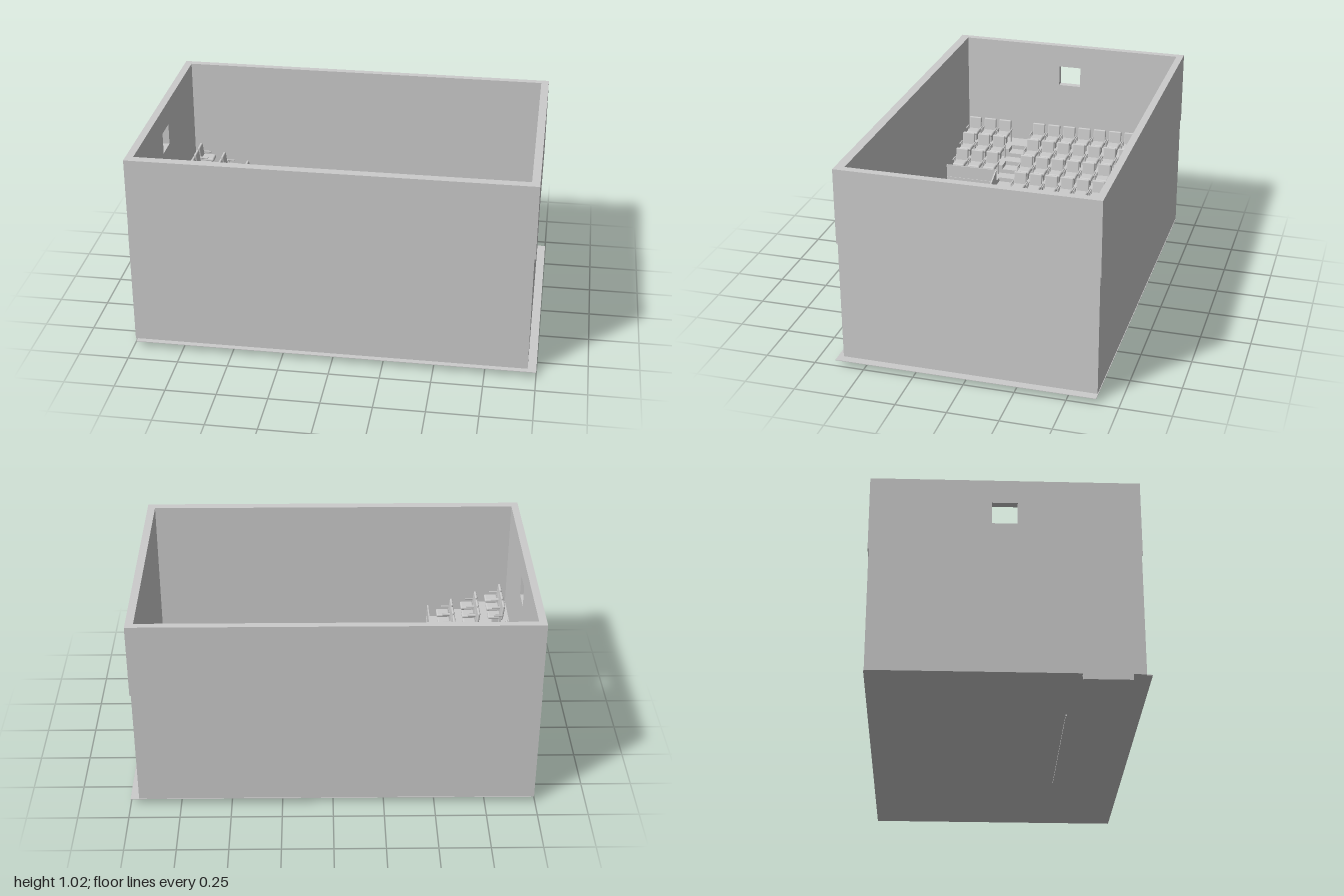
import * as THREE from 'three';
import { RoundedBoxGeometry } from 'three/addons/geometries/RoundedBoxGeometry.js';

const FLOOR = 0.033, RISE = 0.045, PITCH = 0.13, ROWS = 10;
const IN = { x0: -0.955, x1: 0.925, z0: -0.61, z1: 0.575 };
const material = new THREE.MeshStandardMaterial({ color: 0xcccccc });

const rowTop = (i) => 0.44 - RISE * i;
const rowEdge = (i) => -0.785 + PITCH * i;

function add(parent, name, geometry, x = 0, y = 0, z = 0) {
  const mesh = new THREE.Mesh(geometry, material);
  mesh.name = name;
  mesh.position.set(x, y, z);
  parent.add(mesh);
  return mesh;
}

// Box given by its lower and upper limits
function block(parent, name, x0, x1, y0, y1, z0, z1) {
  return add(parent, name, new THREE.BoxGeometry(x1 - x0, y1 - y0, z1 - z0),
    (x0 + x1) / 2, (y0 + y1) / 2, (z0 + z1) / 2);
}

const polygon = (points) => new THREE.Shape(points.map((p) => new THREE.Vector2(...p)));
const extrude = (shape, depth) => new THREE.ExtrudeGeometry(shape, { depth, bevelEnabled: false });

// Side profile (x, y) extruded from z0 to z1
function sideSolid(parent, name, points, z0, z1) {
  return add(parent, name, extrude(polygon(points), z1 - z0), 0, 0, z0);
}

// Floor plan (x, z) extruded upwards from y0 to y1
function planSolid(parent, name, shape, y0, y1) {
  return add(parent, name, extrude(shape, y1 - y0).rotateX(Math.PI / 2), 0, y1, 0);
}

function buildWalls(group) {
  const lower = polygon([[-0.995, -0.64], [0.958, -0.64], [0.958, 0.615], [-0.995, 0.615]]);
  lower.holes.push(polygon([[IN.x0, IN.z0], [IN.x0, IN.z1], [IN.x1, IN.z1], [IN.x1, IN.z0]]));
  planSolid(group, 'lowerWalls', lower, 0.03, 0.643);

  // Upper walls on three sides, slightly proud of the lower ones
  const upper = polygon([[-0.992, -0.645], [0.964, -0.645], [0.964, 0.62], [-0.992, 0.62],
    [-0.992, IN.z1], [IN.x1, IN.z1], [IN.x1, IN.z0], [-0.992, IN.z0]]);
  planSolid(group, 'upperWalls', upper, 0.643, 1.02);

  // Rear upper wall with the projection window
  const rear = polygon([[-IN.z1, 0.643], [-IN.z0, 0.643], [-IN.z0, 1.02], [-IN.z1, 1.02]]);
  rear.holes.push(polygon([[-0.045, 0.79], [-0.045, 0.9], [0.075, 0.9], [0.075, 0.79]]));
  add(group, 'projectionWall', extrude(rear, 0.037).rotateY(Math.PI / 2), -0.992, 0, 0);
}

// Stepped profile of the seating tiers, down to the given row
function tierProfile(lastRow) {
  const points = [[IN.x0, FLOOR], [rowEdge(lastRow), FLOOR]];
  for (let i = lastRow; i >= 0; i--) {
    points.push([rowEdge(i), rowTop(i)]);
    points.push([i ? rowEdge(i - 1) : IN.x0, rowTop(i)]);
  }
  return points;
}

// Aisle stairs with two treads to each row
function stairProfile() {
  const points = [[IN.x0, FLOOR], [rowEdge(8), FLOOR]];
  for (let k = 17; k >= 0; k--) {
    const edge = -0.85 + k * PITCH / 2, y = rowTop(0) - k * RISE / 2;
    points.push([edge + (k === 17 ? rowEdge(8) - edge : 0), y]);
    points.push([k ? edge - PITCH / 2 : IN.x0, y]);
  }
  return points;
}

// One armchair facing +x, standing on y = 0
const cushion = new RoundedBoxGeometry(0.07, 0.02, 0.068, 2, 0.009);
const backrest = new RoundedBoxGeometry(0.014, 0.085, 0.07, 2, 0.006);
const armrest = new RoundedBoxGeometry(0.05, 0.008, 0.008, 1, 0.003);
const armPost = new THREE.BoxGeometry(0.012, 0.065, 0.005);
const pedestal = new THREE.BoxGeometry(0.03, 0.042, 0.04);

function buildSeat() {
  const seat = new THREE.Group();
  seat.name = 'seat';
  add(seat, 'cushion', cushion, 0.006, 0.05, 0);
  add(seat, 'backrest', backrest, -0.036, 0.08, 0).rotation.z = 0.12;
  add(seat, 'pedestal', pedestal, 0, 0.021, 0);
  for (const s of [-1, 1]) {
    add(seat, 'armrest', armrest, -0.012, 0.069, s * 0.039);
    add(seat, 'armPost', armPost, -0.022, 0.0325, s * 0.039);
  }
  return seat;
}

function buildSeats(group) {
  const seats = new THREE.Group();
  seats.name = 'seats';
  group.add(seats);
  for (let i = 0; i < ROWS; i++) {
    const places = [];
    for (let j = 0; j < (i === 9 ? 7 : 9); j++) places.push(-0.555 + j * 0.088);
    if (i < 3) places.push(0.348, 0.436, 0.524);
    for (const z of places) {
      const seat = buildSeat();
      seat.position.set(-0.875 + i * 0.1292, Math.max(rowTop(i), FLOOR), z);
      seats.add(seat);
    }
  }
}

// Rail around the open place in the front row
function buildRail(group) {
  const rail = new THREE.Group();
  rail.name = 'guardRail';
  group.add(rail);
  for (const y of [0.1, 0.15]) {
    const path = new THREE.CatmullRomCurve3([[0.315, 0.04], [0.26, 0.04], [0.245, 0.055],
      [0.245, 0.175], [0.26, 0.19], [0.315, 0.19]].map(([x, z]) => new THREE.Vector3(x, y, z)),
    false, 'catmullrom', 0.1);
    add(rail, 'railBar', new THREE.TubeGeometry(path, 40, 0.003, 6));
  }
  for (const [x, z] of [[0.312, 0.04], [0.245, 0.07], [0.245, 0.16], [0.312, 0.19]]) {
    add(rail, 'railPost', new THREE.CylinderGeometry(0.003, 0.003, 0.12, 6), x, 0.09, z);
  }
}

export function createModel() {
  const model = new THREE.Group();
  model.name = 'auditorium';

  block(model, 'floor', -0.985, 1, 0.03, FLOOR, -0.643, 0.642);
  block(model, 'doorStep', -1, -0.975, 0, 0.036, 0.33, 0.555);
  buildWalls(model);

  // Tiers on both sides of the aisle
  sideSolid(model, 'mainTiers', tierProfile(8), IN.z0, 0.205);
  sideSolid(model, 'aisleStairs', stairProfile(), 0.205, 0.29);
  sideSolid(model, 'sideTiers', tierProfile(2), 0.29, IN.z1);

  // Sloping parapet beside the stairs and the one closing the side tiers
  sideSolid(model, 'stairParapet', [[-0.535, 0.022], [0.39, 0.022], [0.39, 0.11],
    [0.27, 0.11], [-0.535, 0.42]], 0.288, 0.295);
  block(model, 'tierParapet', -0.535, -0.528, FLOOR, 0.42, 0.29, IN.z1);

  buildSeats(model);
  buildRail(model);
  return model;
}
